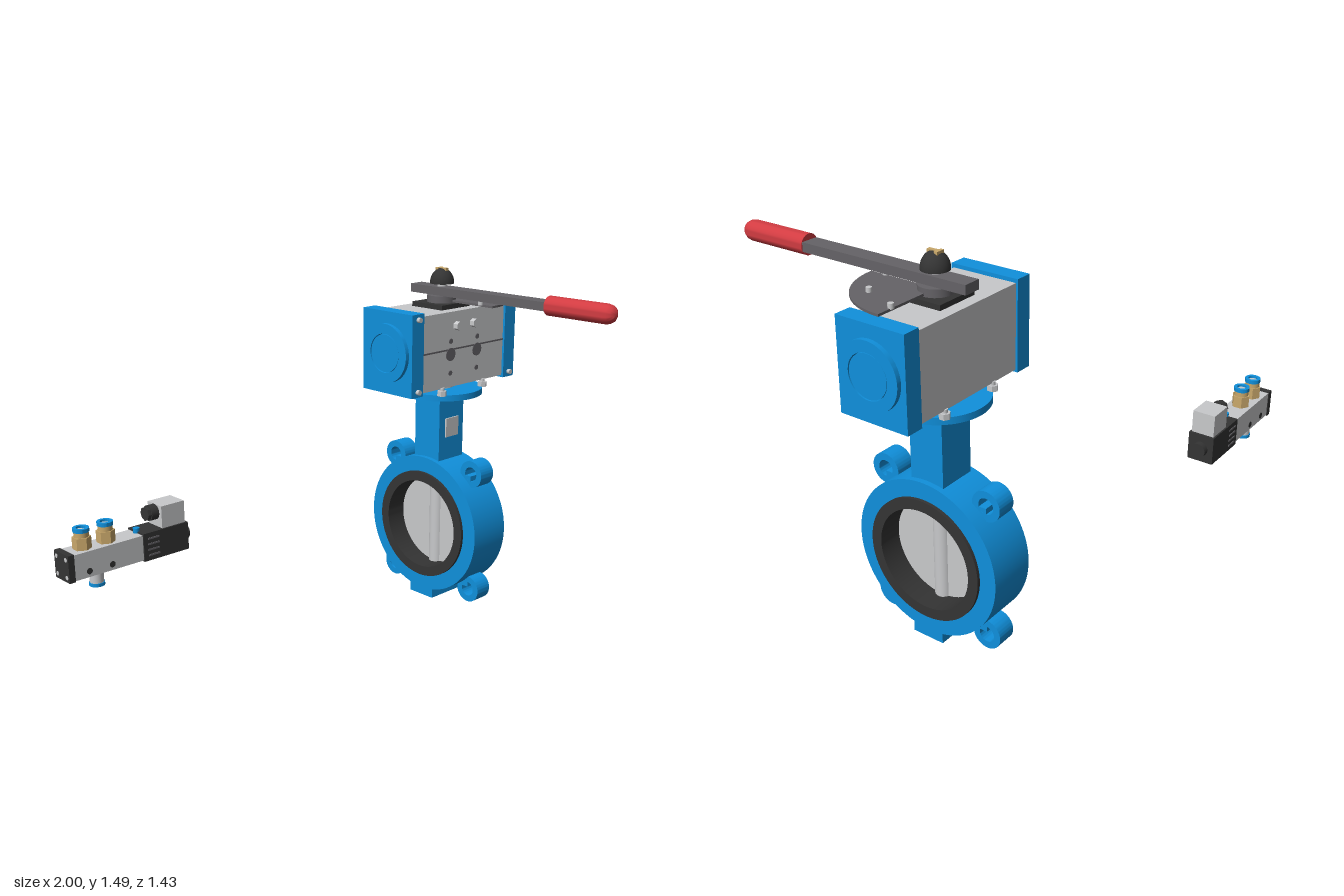
import * as THREE from 'three';
import { toCreasedNormals } from 'three/addons/utils/BufferGeometryUtils.js';

const mat = (name, color) => new THREE.MeshStandardMaterial({ name, color });

export function createModel() {
  const root = new THREE.Group();
  root.name = 'actuatedButterflyValve';
  const blue = mat('blue paint', 0x1090dc), grey = mat('light grey', 0xc8c9cb),
    iron = mat('dark grey', 0x656367), black = mat('black rubber', 0x343434),
    red = mat('red grip', 0xd23c42), brass = mat('brass', 0xc9a86b);

  const group = (name) => {
    const g = new THREE.Group();
    g.name = name;
    root.add(g);
    return g;
  };
  const add = (parent, name, geo, m, x, y, z) => {
    const mesh = new THREE.Mesh(geo, m);
    mesh.name = name;
    mesh.position.set(x, y, z);
    parent.add(mesh);
    return mesh;
  };
  // Box given by its lower and upper corners
  const box = (p, name, m, x0, x1, y0, y1, z0, z1) =>
    add(p, name, new THREE.BoxGeometry(x1 - x0, y1 - y0, z1 - z0), m, (x0 + x1) / 2, (y0 + y1) / 2, (z0 + z1) / 2);
  // Cylinder centred on a point, lying along the chosen axis
  const cyl = (p, name, m, axis, r, len, x, y, z, seg = 32) => {
    const geo = new THREE.CylinderGeometry(r, r, len, seg);
    if (axis === 'x') geo.rotateZ(Math.PI / 2);
    if (axis === 'z') geo.rotateX(Math.PI / 2);
    return add(p, name, seg < 9 ? toCreasedNormals(geo, 0.5) : geo, m, x, y, z);
  };
  // Flat ring lying along the chosen axis
  const ring = (p, name, m, axis, outer, inner, len, x, y, z, seg = 32) => {
    const s = new THREE.Shape().absarc(0, 0, outer, 0, Math.PI * 2);
    s.holes.push(new THREE.Path().absarc(0, 0, inner, 0, Math.PI * 2, true));
    let geo = new THREE.ExtrudeGeometry(s, { depth: len, bevelEnabled: false, curveSegments: seg });
    geo.translate(0, 0, -len / 2);
    if (axis === 'x') geo.rotateY(Math.PI / 2);
    if (axis === 'y') geo.rotateX(-Math.PI / 2);
    return add(p, name, toCreasedNormals(geo, 0.5), m, x, y, z);
  };

  const X = 0.65, Z = -0.178, Y = 0.347;

  // Valve body, liner, disc and shaft
  const valve = group('valve');
  ring(valve, 'valveBody', blue, 'x', 0.3125, 0.235, 0.2, X, Y, Z, 64);
  ring(valve, 'liner', black, 'x', 0.245, 0.202, 0.226, X, Y, Z, 64);
  cyl(valve, 'disc', grey, 'x', 0.203, 0.03, X, Y, Z, 64);
  cyl(valve, 'shaft', grey, 'y', 0.035, 0.404, X, Y, Z);
  box(valve, 'foot', blue, X - 0.1, X + 0.1, 0, 0.06, Z - 0.068, Z + 0.068);
  for (const sy of [-1, 1]) for (const sz of [-1, 1]) {
    const y = Y + sy * 0.27, z = Z + sz * 0.228;
    ring(valve, 'mountingEar', blue, 'x', 0.06, 0.032, 0.08, X, y, z);
    add(valve, 'earWeb', new THREE.BoxGeometry(0.079, 0.045, 0.06), blue, X, y - sy * 0.032, z - sz * 0.03);
  }

  // Neck and mounting flange
  box(valve, 'neck', blue, 0.572, 0.728, 0.63, 0.95, -0.25, -0.106);
  box(valve, 'namePlate', grey, 0.61, 0.69, 0.755, 0.84, -0.107, -0.099);
  cyl(valve, 'flange', blue, 'y', 0.187, 0.027, X, 0.957, Z, 64);
  for (const sx of [-1, 1]) for (const sz of [-1, 1]) {
    cyl(valve, 'flangeBolt', grey, 'y', 0.021, 0.022, X + sx * 0.132, 0.98, Z + sz * 0.132, 6);
    cyl(valve, 'boltShank', grey, 'y', 0.011, 0.025, X + sx * 0.132, 0.992, Z + sz * 0.132, 16);
  }

  // Actuator housing with end caps
  const actuator = group('actuator');
  box(actuator, 'housing', grey, 0.38, 0.92, 1.0, 1.325, -0.315, -0.045);
  cyl(actuator, 'outputShaft', grey, 'y', 0.06, 0.06, X, 0.985, Z);
  box(actuator, 'seam', iron, 0.385, 0.915, 1.16, 1.167, -0.046, -0.043);
  for (const s of [-1, 1]) {
    const cx = X + s * 0.297;
    box(actuator, 'endCap', blue, cx - 0.035, cx + 0.035, 0.99, 1.34, -0.323, -0.035);
    ring(actuator, 'capRim', blue, 'x', 0.125, 0.083, 0.022, X + s * 0.339, 1.165, Z, 48);
    cyl(actuator, 'capCentre', blue, 'x', 0.08, 0.022, X + s * 0.337, 1.165, Z, 48);
    for (const y of [1.013, 1.317])
      cyl(actuator, 'capScrew', grey, 'z', 0.011, 0.018, cx, y, -0.029, 16);
    // Ports and stop screws on the front
    const px = X + s * 0.085;
    cyl(actuator, 'airPort', iron, 'z', 0.028, 0.006, px, 1.143, -0.044);
    for (const y of [1.062, 1.2]) cyl(actuator, 'portHole', iron, 'z', 0.011, 0.006, px, y, -0.044, 16);
    cyl(actuator, 'stopScrew', grey, 'z', 0.019, 0.024, X + s * 0.053, 1.263, -0.034, 6);
  }

  // Locking plate, hand lever and position knob
  const lever = group('handLever');
  box(lever, 'basePlate', iron, 0.56, 0.74, 1.32, 1.345, -0.268, -0.095).material = black;
  const sector = new THREE.Shape().moveTo(0, 0.06).lineTo(0, 0).lineTo(0.285, 0);
  sector.absarc(0, 0, 0.285, 0, -Math.PI / 2, true).lineTo(0, 0);
  const sectorGeo = new THREE.ExtrudeGeometry(sector, { depth: 0.009, bevelEnabled: false, curveSegments: 32 });
  sectorGeo.rotateX(-Math.PI / 2);
  add(lever, 'lockingQuadrant', sectorGeo, iron, X, 1.348, Z);
  cyl(lever, 'hub', iron, 'y', 0.063, 0.03, X, 1.36, Z);
  for (const a of [0.02, Math.PI / 4, Math.PI / 2])
    cyl(lever, 'quadrantPin', grey, 'y', 0.011, 0.02, X + 0.22 * Math.cos(a), 1.364, Z + 0.22 * Math.sin(a), 16);
  box(lever, 'leverBar', iron, 0.615, 0.685, 1.375, 1.411, -0.33, 0.42);
  const grip = new THREE.LatheGeometry([[0, 0], [0.04, 0], [0.04, 0], [0.04, 0.275],
    [0.037, 0.29], [0.029, 0.304], [0.016, 0.313], [0, 0.316]].map(([r, h]) => new THREE.Vector2(r, h)), 32);
  grip.rotateX(Math.PI / 2);
  add(lever, 'grip', toCreasedNormals(grip, 0.7), red, X, 1.394, 0.4);
  cyl(lever, 'knobStem', grey, 'y', 0.02, 0.03, X, 1.418, Z);
  const dome = new THREE.SphereGeometry(0.052, 32, 12, 0, Math.PI * 2, 0, Math.PI / 2);
  dome.scale(1, 1.2, 1);
  add(lever, 'knob', dome, black, X, 1.427, Z);
  cyl(lever, 'knobBase', black, 'y', 0.052, 0.004, X, 1.426, Z);
  box(lever, 'pointer', brass, X - 0.008, X + 0.008, 1.47, 1.491, Z - 0.016, Z + 0.028);
  box(lever, 'pointerHead', brass, X - 0.018, X + 0.018, 1.47, 1.491, Z - 0.024, Z - 0.01);

  // Solenoid valve: body, end plate and coil
  const sol = group('solenoidValve'), SZ = -0.66;
  box(sol, 'endPlate', black, -1, -0.973, 0.372, 0.487, SZ - 0.053, SZ + 0.053);
  for (const y of [0.392, 0.467]) for (const s of [-1, 1])
    cyl(sol, 'plateScrew', grey, 'x', 0.009, 0.006, -0.999, y, SZ + s * 0.035, 12);
  box(sol, 'spoolBody', grey, -0.975, -0.655, 0.375, 0.483, SZ - 0.05, SZ + 0.05);
  box(sol, 'coil', black, -0.655, -0.435, 0.37, 0.49, SZ - 0.056, SZ + 0.056);
  cyl(sol, 'coilNut', black, 'x', 0.032, 0.03, -0.424, 0.428, SZ);
  for (const s of [-1, 1]) {
    for (let i = 0; i < 4; i++)
      box(sol, 'coilRib', iron, -0.635, -0.58, 0.39 + i * 0.024, 0.397 + i * 0.024, SZ + s * 0.056 - 0.003, SZ + s * 0.056 + 0.003);
    for (const x of [-0.908, -0.803]) cyl(sol, 'mountingHole', black, 'z', 0.013, 0.006, x, 0.4, SZ + s * 0.049, 16);
  }
  box(sol, 'plug', grey, -0.558, -0.445, 0.49, 0.585, SZ - 0.049, SZ + 0.049);
  cyl(sol, 'cableGland', black, 'x', 0.033, 0.035, -0.575, 0.552, SZ);
  cyl(sol, 'glandNut', black, 'x', 0.03, 0.022, -0.597, 0.552, SZ, 8);
  cyl(sol, 'manualButton', blue, 'y', 0.014, 0.022, -0.652, 0.493, SZ, 16);

  // Push-in fittings above and below
  for (const x of [-0.905, -0.796]) {
    cyl(sol, 'fittingNut', brass, 'y', 0.038, 0.05, x, 0.508, SZ, 6);
    cyl(sol, 'fittingSleeve', brass, 'y', 0.03, 0.025, x, 0.543, SZ);
    ring(sol, 'releaseRing', blue, 'y', 0.033, 0.019, 0.016, x, 0.562, SZ);
    cyl(sol, 'fittingBore', grey, 'y', 0.019, 0.006, x, 0.558, SZ);
  }
  cyl(sol, 'lowerFitting', grey, 'y', 0.029, 0.055, -0.85, 0.35, SZ);
  ring(sol, 'lowerReleaseRing', blue, 'y', 0.032, 0.019, 0.014, -0.85, 0.318, SZ);
  for (const x of [-0.925, -0.783]) cyl(sol, 'silencer', brass, 'y', 0.02, 0.014, x, 0.369, SZ, 16);

  return root;
}
